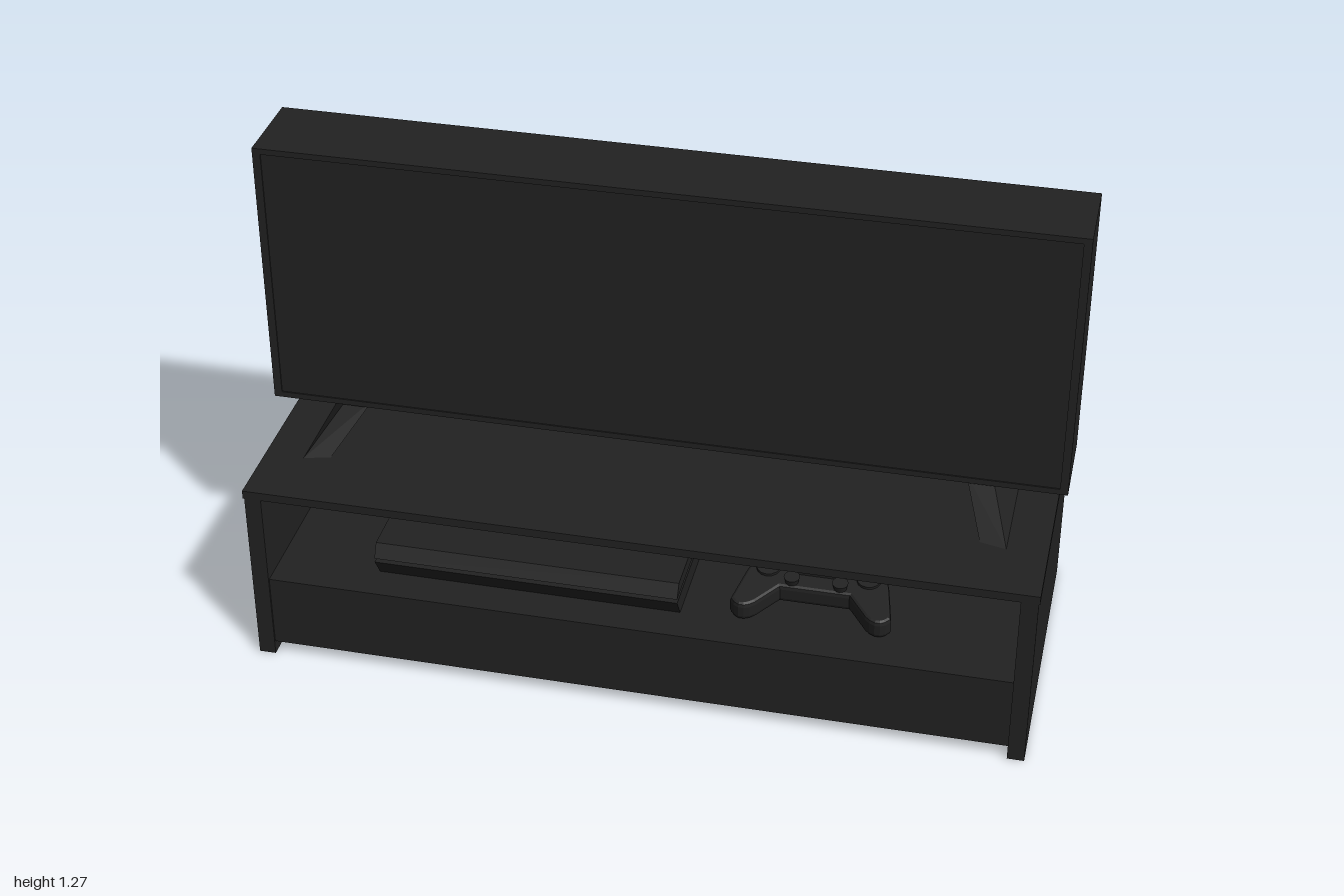
import * as THREE from 'three';
import { ConvexGeometry } from 'three/addons/geometries/ConvexGeometry.js';

const material = (name, color) => {
  const m = new THREE.MeshStandardMaterial({ color });
  m.name = name;
  return m;
};

export function createModel() {
  const model = new THREE.Group();
  const black = material('charcoal', 0x222222);
  const screenBlack = material('screen black', 0x212121);
  const grey = material('grey green', 0x667571);

  const add = (parent, name, geometry, mat = black) => {
    const mesh = new THREE.Mesh(geometry, mat);
    mesh.name = name;
    parent.add(mesh);
    return mesh;
  };
  // Box given by its extents along each axis
  const box = (parent, name, [x0, x1], [y0, y1], [z0, z1], mat) => {
    const mesh = add(parent, name, new THREE.BoxGeometry(x1 - x0, y1 - y0, z1 - z0), mat);
    mesh.position.set((x0 + x1) / 2, (y0 + y1) / 2, (z0 + z1) / 2);
    return mesh;
  };
  const group = (name) => {
    const g = new THREE.Group();
    g.name = name;
    model.add(g);
    return g;
  };

  // Cabinet with an open shelf; side panels run down to form the feet
  const cabinet = group('cabinet');
  box(cabinet, 'cabinetTop', [-0.975, 0.975], [0.475, 0.497], [-0.395, 0.395]);
  for (const s of [-1, 1]) {
    const [a, b] = [s * 0.93, s * 0.972].sort((p, q) => p - q);
    box(cabinet, 'sidePanel', [a, b], [0, 0.475], [-0.393, 0.393]);
  }
  box(cabinet, 'lowerDrawer', [-0.93, 0.93], [0.035, 0.23], [-0.39, 0.388]);
  box(cabinet, 'backPanel', [-0.93, 0.93], [0.23, 0.475], [-0.39, -0.365]);
  box(cabinet, 'undersideStrip', [0.835, 0.88], [0.031, 0.035], [-0.37, 0.31], grey);

  // Television: body, thin bezel and screen plate
  const tv = group('television');
  box(tv, 'tvBody', [-1, 1], [0.565, 1.27], [-0.15, 0.064]);
  const frame = new THREE.Shape([[-1, 0.565], [1, 0.565], [1, 1.27], [-1, 1.27]].map(p => new THREE.Vector2(...p)));
  frame.holes.push(new THREE.Path([[-0.98, 0.58], [-0.98, 1.255], [0.98, 1.255], [0.98, 0.58]].map(p => new THREE.Vector2(...p))));
  add(tv, 'bezel', new THREE.ExtrudeGeometry(frame, { depth: 0.006, bevelEnabled: false })).position.z = 0.064;
  box(tv, 'screen', [-0.98, 0.98], [0.58, 1.255], [0.064, 0.067], screenBlack);

  // Splayed trapezoid feet beneath the television
  for (const s of [-1, 1]) {
    const pts = [];
    for (const [x, y, z0, z1] of [
      [0.75, 0.567, -0.14, 0.03], [0.815, 0.567, -0.14, 0.03],
      [0.81, 0.497, -0.385, 0.21], [0.875, 0.497, -0.39, 0.225],
    ]) for (const z of [z0, z1]) pts.push(new THREE.Vector3(s * x, y, z));
    add(tv, 'tvFoot', new ConvexGeometry(pts));
  }

  // Game console: two slanted slabs with a recessed seam
  const gameConsole = group('gameConsole');
  const slab = (name, profile, width) => {
    const shape = new THREE.Shape(profile.map(([z, y]) => new THREE.Vector2(-z, y)));
    const geo = new THREE.ExtrudeGeometry(shape, { depth: width, bevelEnabled: false });
    geo.rotateY(Math.PI / 2).translate(-0.285 - width / 2, 0, 0);
    add(gameConsole, name, geo);
  };
  slab('consoleUpper', [[0.33, 0.295], [-0.08, 0.295], [-0.06, 0.33], [0.31, 0.33]], 0.77);
  slab('consoleSeam', [[0.315, 0.283], [-0.07, 0.283], [-0.07, 0.296], [0.315, 0.296]], 0.75);
  slab('consoleLower', [[0.295, 0.23], [-0.04, 0.23], [-0.08, 0.284], [0.33, 0.284]], 0.77);

  // Game controller lying on the shelf
  const pad = group('gameController');
  const outline = new THREE.Shape();
  outline.moveTo(-0.12, -0.055);
  outline.lineTo(0.12, -0.055);
  outline.quadraticCurveTo(0.16, -0.05, 0.17, 0);
  outline.lineTo(0.19, 0.1);
  outline.quadraticCurveTo(0.17, 0.13, 0.14, 0.1);
  outline.lineTo(0.09, 0.035);
  outline.lineTo(-0.09, 0.035);
  outline.lineTo(-0.14, 0.1);
  outline.quadraticCurveTo(-0.17, 0.13, -0.19, 0.1);
  outline.lineTo(-0.17, 0);
  outline.quadraticCurveTo(-0.16, -0.05, -0.12, -0.055);
  const shell = new THREE.ExtrudeGeometry(outline, {
    depth: 0.03, bevelThickness: 0.012, bevelSize: 0.008, bevelSegments: 2, curveSegments: 5,
  });
  add(pad, 'controllerShell', shell.rotateX(Math.PI / 2));
  for (const s of [-1, 1]) {
    add(pad, 'thumbStick', new THREE.CylinderGeometry(0.02, 0.016, 0.018, 14)).position.set(s * 0.06, 0.02, 0.022);
    add(pad, 'buttonPad', new THREE.CylinderGeometry(0.03, 0.03, 0.008, 14)).position.set(s * 0.125, 0.015, -0.015);
  }
  box(pad, 'touchPad', [-0.065, 0.065], [0.01, 0.018], [-0.05, -0.005]);
  pad.position.set(0.42, 0.292, 0.18);
  pad.rotation.x = 0.14;

  return model;
}
